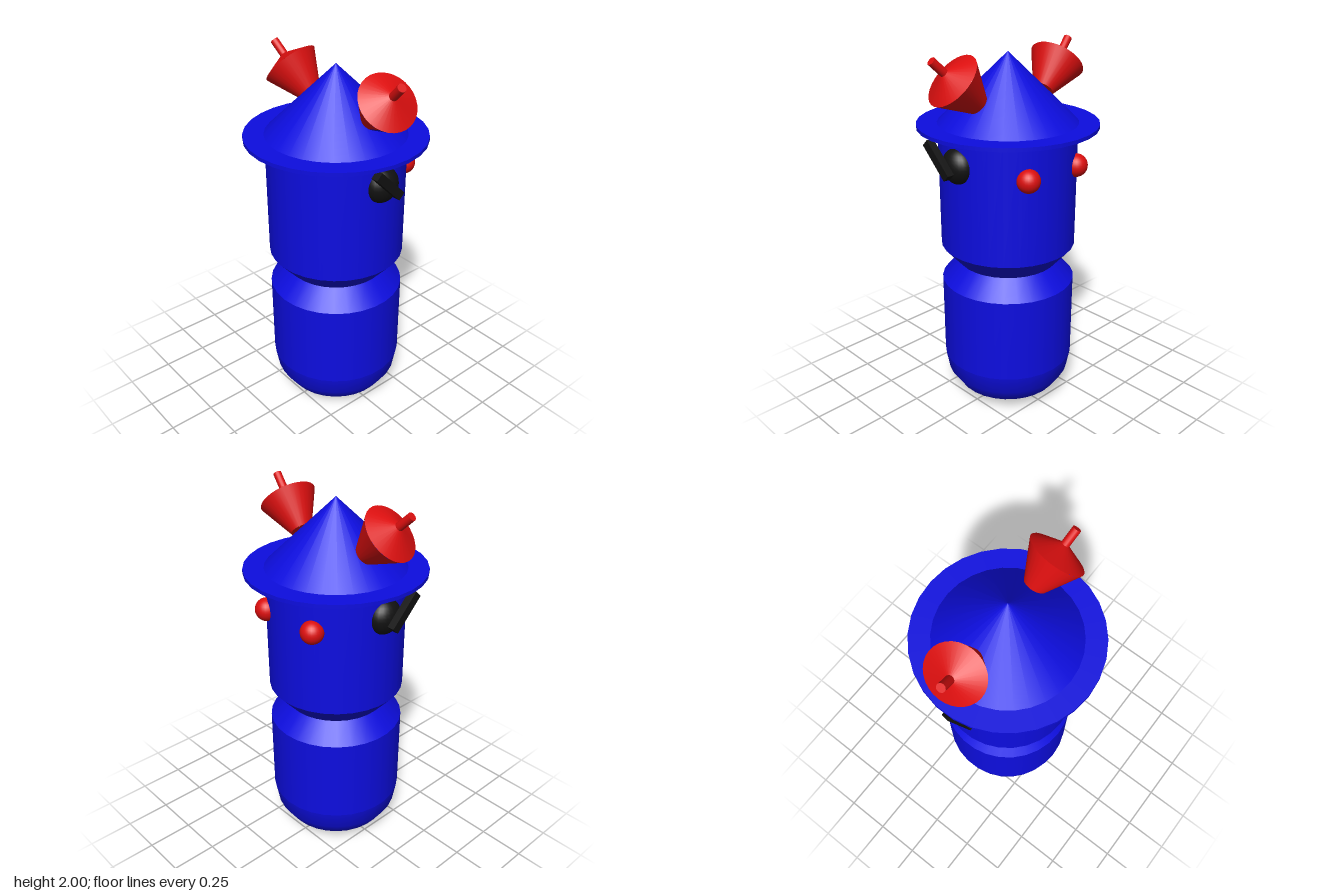
import * as THREE from 'three';

const blue = new THREE.MeshStandardMaterial({ color: 0x0d0de0 });
blue.name = 'blue';
const red = new THREE.MeshStandardMaterial({ color: 0xdc0f0f });
red.name = 'red';
const black = new THREE.MeshStandardMaterial({ color: 0x111111 });
black.name = 'black';

const SIDES = 30;

function add(parent, name, geometry, material, x = 0, y = 0, z = 0) {
  const mesh = new THREE.Mesh(geometry, material);
  mesh.name = name;
  mesh.position.set(x, y, z);
  parent.add(mesh);
  return mesh;
}

// Open ring wall between two heights
function band(parent, name, y0, r0, y1, r1) {
  const geometry = new THREE.CylinderGeometry(r1, r0, y1 - y0, SIDES, 1, true);
  add(parent, name, geometry, blue, 0, (y0 + y1) / 2, 0);
}

// Flared horn with a shallow cone lid and a stub, built along +y from its wide rim
function createHorn(side) {
  const horn = new THREE.Group();
  horn.name = side > 0 ? 'leftHorn' : 'rightHorn';
  const rim = 0.151, neck = 0.057, depth = 0.19;
  const flare = (start, length, segments) =>
    new THREE.CylinderGeometry(rim, neck, depth, segments, 1, true, start, length);
  // Lower front strip of the flare is blue
  const strip = 0.8;
  const start = side > 0 ? Math.PI / 2 - strip : -Math.PI / 2;
  add(horn, 'hornStrip', flare(start, strip, 5), blue, 0, -depth / 2, 0);
  add(horn, 'hornFlare', flare(start + strip, 2 * Math.PI - strip, 27), red, 0, -depth / 2, 0);
  const base = add(horn, 'hornBase', new THREE.CircleGeometry(neck, 30), red, 0, -depth, 0);
  base.rotation.x = Math.PI / 2;
  add(horn, 'hornLid', new THREE.ConeGeometry(rim, 0.07, 30, 1, true), red, 0, 0.035, 0);
  add(horn, 'hornStub', new THREE.CylinderGeometry(0.022, 0.022, 0.11, 16), red, 0, 0.095, 0);

  // Orient along the outward axis, keeping local x pointing outward and down
  const axis = new THREE.Vector3(side * 0.71, 0.69, 0.14).normalize();
  const xAxis = new THREE.Vector3(axis.y, -axis.x, 0).normalize();
  const zAxis = new THREE.Vector3().crossVectors(xAxis, axis);
  horn.quaternion.setFromRotationMatrix(new THREE.Matrix4().makeBasis(xAxis, axis, zAxis));
  horn.position.set(side * 0.367, 1.883, 0);
  return horn;
}

export function createModel() {
  const model = new THREE.Group();
  model.name = 'model';

  // Rounded bottom
  const dome = [[0, 0.003], [0.1, 0.007], [0.2, 0.027], [0.29, 0.085], [0.347, 0.17], [0.365, 0.27]]
    .map(([r, y]) => new THREE.Vector2(r, y));
  add(model, 'roundedBottom', new THREE.LatheGeometry(dome, SIDES), blue);

  // Body with pinched waist
  band(model, 'lowerBody', 0.27, 0.365, 0.74, 0.365);
  band(model, 'lowerWaist', 0.74, 0.365, 0.845, 0.272);
  band(model, 'upperWaist', 0.845, 0.272, 0.95, 0.365);
  band(model, 'upperBody', 0.95, 0.365, 1.61, 0.365);

  // Hat
  add(model, 'hatBrim', new THREE.CylinderGeometry(0.475, 0.475, 0.02, SIDES), blue, 0, 1.61, 0);
  add(model, 'hatCone', new THREE.ConeGeometry(0.368, 0.357, SIDES, 1, true), blue, 0, 1.7985, 0);

  for (const side of [1, -1]) {
    const label = side > 0 ? 'left' : 'right';
    model.add(createHorn(side));

    // Side knob and lever leaning forward
    const knob = add(model, label + 'Knob', new THREE.SphereGeometry(0.094, 24, 16), black, side * 0.345, 1.455, 0);
    knob.scale.x = 0.78;
    const lever = add(model, label + 'Lever', new THREE.BoxGeometry(0.04, 0.215, 0.046), black, side * 0.435, 1.497, 0.043);
    lever.rotation.x = Math.PI / 4;

    // Rear button
    add(model, label + 'RearButton', new THREE.SphereGeometry(0.061, 24, 16), red, side * 0.175, 1.415, -0.322);
  }
  return model;
}
